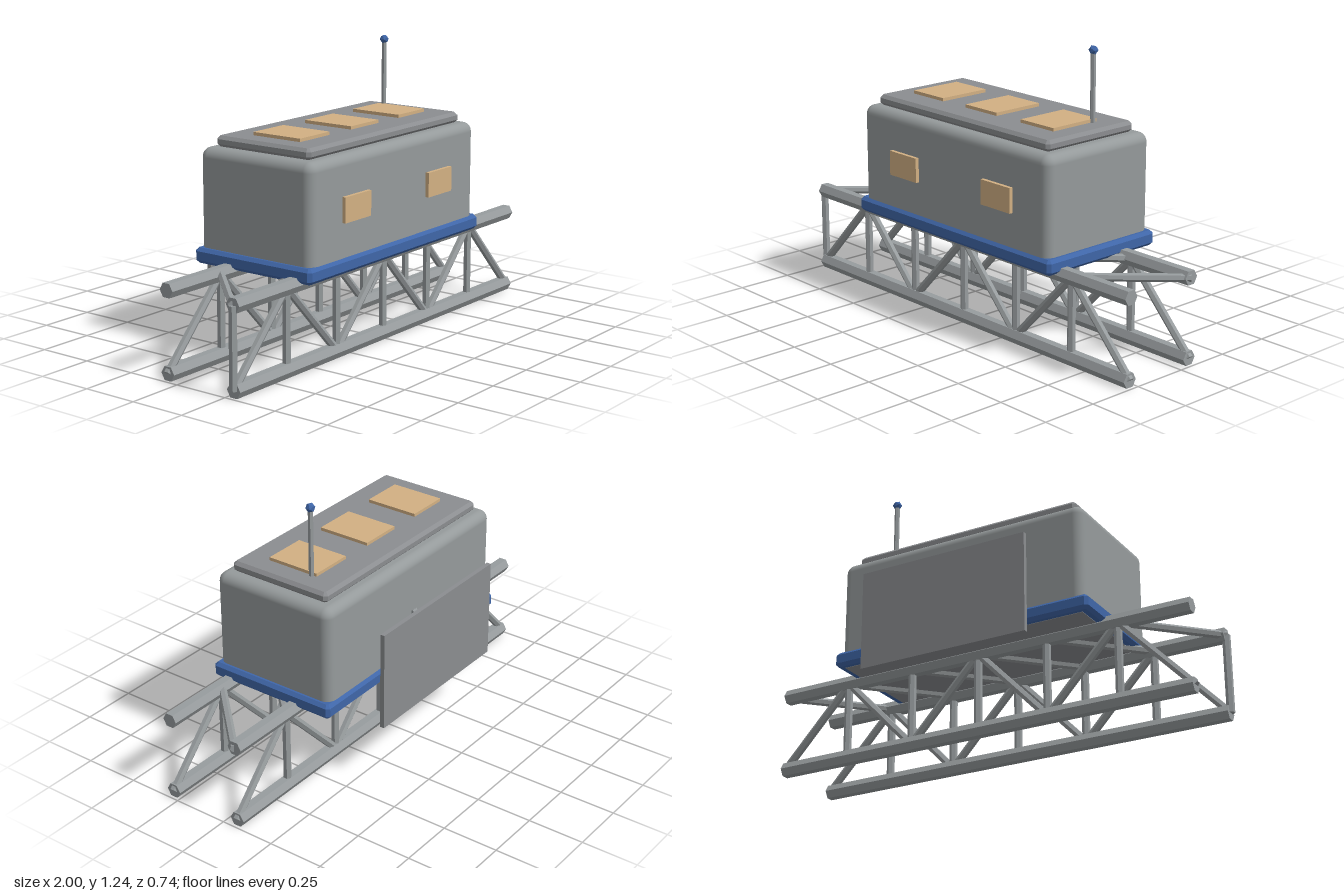
import * as THREE from 'three';
import { RoundedBoxGeometry } from 'three/addons/geometries/RoundedBoxGeometry.js';

const mat = (name, color) => {
  const m = new THREE.MeshStandardMaterial({ color });
  m.name = name;
  return m;
};

export function createModel() {
  const model = new THREE.Group();
  model.name = 'trussModule';
  const steel = mat('steel grey', 0x979c9e);
  const shell = mat('shell grey', 0x959a9b);
  const slate = mat('panel grey', 0x8b8d90);
  const blue = mat('trim blue', 0x3f66a8);
  const tan = mat('window tan', 0xd2b083);

  const add = (name, geo, material, x = 0, y = 0, z = 0, parent = model) => {
    const mesh = new THREE.Mesh(geo, material);
    mesh.name = name;
    mesh.position.set(x, y, z);
    parent.add(mesh);
    return mesh;
  };
  const box = (name, material, w, h, d, x, y, z) =>
    add(name, new THREE.BoxGeometry(w, h, d), material, x, y, z);

  // Faceted rod between two points
  const up = new THREE.Vector3(0, 1, 0);
  const rod = (name, a, b, r, parent = model) => {
    const p = new THREE.Vector3(...a), q = new THREE.Vector3(...b);
    const dir = q.clone().sub(p);
    const geo = new THREE.CylinderGeometry(r, r, dir.length(), 6).toNonIndexed();
    geo.computeVertexNormals();
    const mid = p.clone().add(q).multiplyScalar(0.5);
    const mesh = add(name, geo, steel, mid.x, mid.y, mid.z, parent);
    mesh.quaternion.setFromUnitVectors(up, dir.normalize());
  };

  // Slab with chamfered edges, lying flat with its bottom at y
  const slab = (name, material, w, h, d, bevel, y, z) => {
    const x = w / 2 - bevel, k = d / 2 - bevel, c = 0.006;
    const shape = new THREE.Shape([
      [x - c, -k], [x, c - k], [x, k - c], [x - c, k],
      [c - x, k], [-x, k - c], [-x, c - k], [c - x, -k],
    ].map(([u, v]) => new THREE.Vector2(u, v)));
    const geo = new THREE.ExtrudeGeometry(shape, {
      depth: h - 2 * bevel, bevelThickness: bevel, bevelSize: bevel, bevelSegments: 1,
    });
    geo.rotateX(-Math.PI / 2);
    return add(name, geo, material, 0, y + bevel, z);
  };

  // Truss: four chords with verticals, zigzag diagonals and top bracing
  const truss = new THREE.Group();
  truss.name = 'truss';
  model.add(truss);
  const END = 0.985, LOW = 0.03, HIGH = 0.374, FRONT = 0.282, BACK = -0.062;
  const bays = 6, brace = 0.0175;
  const nodeX = (i) => -END + (2 * END * i) / bays;
  for (const z of [FRONT, BACK]) {
    for (const y of [LOW, HIGH]) rod('chord', [-END, y, z], [END, y, z], 0.034, truss);
    for (let i = 0; i < bays; i++) {
      const x = nodeX(i), next = nodeX(i + 1);
      if (i > 0 || z === FRONT) rod('vertical', [x, LOW, z], [x, HIGH, z], brace, truss);
      const [y0, y1] = i % 2 ? [HIGH, LOW] : [LOW, HIGH];
      rod('diagonal', [x, y0, z], [next, y1, z], brace, truss);
    }
  }
  for (let i = 0; i < bays; i++)
    rod('topBrace', [nodeX(i), HIGH, FRONT], [nodeX(i + 1), HIGH, BACK], brace, truss);

  // Cabin: blue base, rounded body, roof slab
  const CZ = 0.06;
  slab('base', blue, 1.224, 0.066, 0.613, 0.014, 0.379, CZ);
  box('underside', slate, 1.15, 0.01, 0.55, 0, 0.382, CZ);
  add('cabin', new RoundedBoxGeometry(1.176, 0.468, 0.587, 4, 0.042), shell, 0, 0.634, CZ);
  slab('roof', slate, 1.076, 0.048, 0.49, 0.014, 0.866, CZ);

  // Skylights and front windows
  for (const x of [-0.343, 0, 0.343]) box('skylight', tan, 0.195, 0.016, 0.245, x, 0.92, CZ);
  for (const x of [-0.296, 0.296]) box('window', tan, 0.175, 0.108, 0.02, x, 0.647, 0.36);

  // Antenna
  rod('antennaMast', [0.443, 0.9, -0.038], [0.443, 1.215, -0.038], 0.0115);
  add('antennaTip', new THREE.IcosahedronGeometry(0.021, 0), blue, 0.443, 1.218, -0.038);

  // Rear panel on its slanted strut
  box('rearPanel', slate, 0.784, 0.44, 0.02, 0, 0.499, -0.357);
  rod('panelStrut', [0, 0.623, -0.234], [0, 0.501, -0.349], 0.016);

  return model;
}
